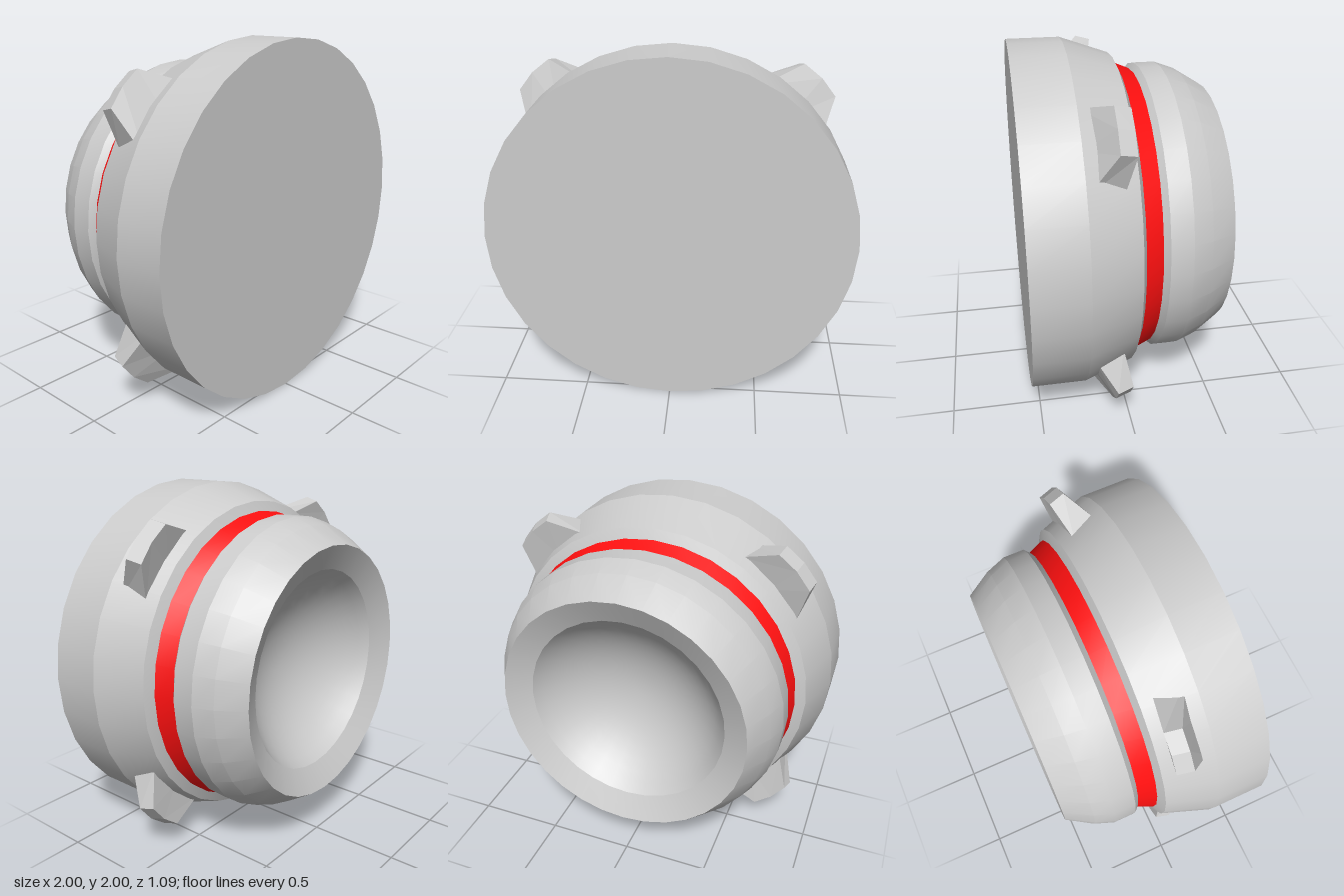
import * as THREE from 'three';
import { toCreasedNormals } from 'three/addons/utils/BufferGeometryUtils.js';

const SIDES = 32;
const grey = new THREE.MeshStandardMaterial({ color: 0xcccccc });
const greyFlat = new THREE.MeshStandardMaterial({ color: 0xcccccc, flatShading: true });
const red = new THREE.MeshStandardMaterial({ color: 0xff1010 });

// Turned part around the z axis; profile is [radius, z], running back to front
function turned(name, profile, material) {
  const points = profile.map(([r, z]) => new THREE.Vector2(r, z));
  const lathe = new THREE.LatheGeometry(points, SIDES);
  lathe.rotateX(Math.PI / 2);
  const mesh = new THREE.Mesh(toCreasedNormals(lathe, 0.25), material);
  mesh.name = name;
  mesh.position.y = 1;
  return mesh;
}

// Spherical bowl profile from its deepest point out to the lip
function bowlProfile(rimRadius, rimZ, slope, steps) {
  const R = rimRadius / Math.sin(slope);
  const profile = [];
  for (let i = 0; i <= steps; i++) {
    const a = (slope * i) / steps;
    profile.push([R * Math.sin(a), rimZ + R * (Math.cos(a) - Math.cos(slope))]);
  }
  return profile;
}

// Wedge-shaped lug: x is tangential, y radial, z along the body axis
function lugGeometry() {
  const geo = new THREE.BoxGeometry(2, 2, 2, 2, 1, 1);
  const p = geo.attributes.position;
  for (let i = 0; i < p.count; i++) {
    const side = p.getX(i), top = p.getY(i) > 0, front = p.getZ(i) > 0;
    const crown = side === 0 ? 0.015 : 0;
    if (top) p.setXYZ(i, side * 0.124, (front ? 1.1 : 1.072) + crown, front ? 0.095 : 0.01);
    else p.setXYZ(i, side * 0.228, 0.88, front ? 0.235 : 0.055);
  }
  geo.computeVertexNormals();
  return geo;
}

export function createModel() {
  const model = new THREE.Group();
  model.name = 'turnedHousing';

  // Rear collar with its hollow bowl
  model.add(turned('rearCollar', [
    ...bowlProfile(0.57, -0.475, 0.97, 10),
    [0.71, -0.545], [0.8, -0.4], [0.84, -0.29], [0.84, -0.17], [0.81, -0.14],
  ], grey));

  // Coloured band between collar and front body
  model.add(turned('redBand', [[0.81, -0.14], [0.85, -0.045]], red));

  // Front body closed by a flat disc
  model.add(turned('frontBody', [
    [0.85, -0.045], [0.905, -0.02], [1, 0.25], [1, 0.545], [0, 0.545],
  ], grey));

  // Four lugs on the diagonals
  const geo = lugGeometry();
  for (let i = 0; i < 4; i++) {
    const lug = new THREE.Mesh(geo, greyFlat);
    lug.name = `lug${i + 1}`;
    lug.position.y = 1;
    lug.rotation.z = Math.PI / 4 + (i * Math.PI) / 2;
    model.add(lug);
  }
  return model;
}
